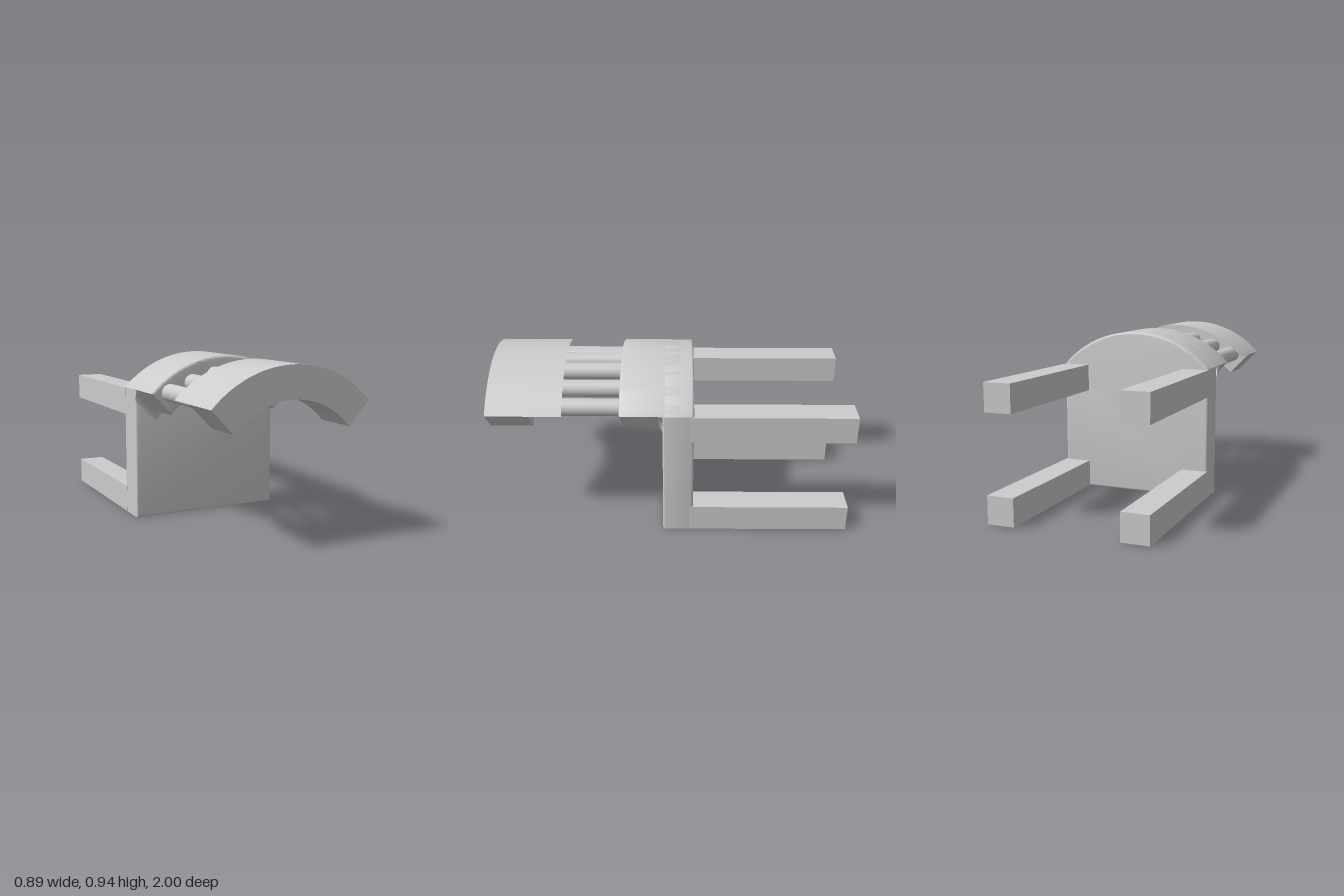
import * as THREE from 'three';
import { toCreasedNormals } from 'three/addons/utils/BufferGeometryUtils.js';
import { ParametricGeometry } from 'three/addons/geometries/ParametricGeometry.js';

const HALF_W = 0.445, EDGE_Y = 0.745;

// circle through a crown point and two symmetric end points
function crownArc(top, halfChord, endY) {
  const sag = top - endY;
  const r = (halfChord * halfChord + sag * sag) / (2 * sag);
  return { r, cy: top - r, a: Math.asin(halfChord / r) };
}
const OUTER = crownArc(0.94, HALF_W, EDGE_Y);
const INNER = crownArc(0.77, 0.325, 0.62);

function addOuterArc(shape) {
  shape.absarc(0, OUTER.cy, OUTER.r, Math.PI / 2 - OUTER.a, Math.PI / 2 + OUTER.a, false);
}

// curved band with slanted ends
function bandShape() {
  const s = new THREE.Shape();
  addOuterArc(s);
  s.absarc(0, INNER.cy, INNER.r, Math.PI / 2 + INNER.a, Math.PI / 2 - INNER.a, true);
  s.closePath();
  return s;
}

// upright panel with a curved top
function panelShape() {
  const s = new THREE.Shape();
  s.moveTo(-HALF_W, 0.003);
  s.lineTo(HALF_W, 0.003);
  addOuterArc(s);
  s.closePath();
  return s;
}

// extrude from z0 to z1, with rounded rims when bevel > 0
function slab(shape, z0, z1, bevel) {
  const g = new THREE.ExtrudeGeometry(shape, {
    depth: z1 - z0 - 2 * bevel, curveSegments: 24, bevelEnabled: bevel > 0,
    bevelThickness: bevel, bevelSize: bevel, bevelOffset: -bevel, bevelSegments: 3,
  });
  g.translate(0, 0, z0 + bevel);
  return g;
}

// underside outline of the band, pushed outward by d
function undersidePath(d) {
  const m = d * Math.SQRT2, pts = [[-HALF_W, EDGE_Y - m], [-0.325, 0.62 - m]];
  for (let i = 0; i <= 24; i++) {
    const t = INNER.a * (i / 12 - 1);
    pts.push([Math.sin(t) * (INNER.r - d), INNER.cy + Math.cos(t) * (INNER.r - d)]);
  }
  pts.push([0.325, 0.62 - m], [HALF_W, EDGE_Y - m]);
  return pts;
}

export function createModel() {
  const group = new THREE.Group();
  const grey = new THREE.MeshStandardMaterial({ color: 0xcccccc });
  const greyDouble = new THREE.MeshStandardMaterial({ color: 0xcccccc, side: THREE.DoubleSide });
  const add = (name, geometry, material = grey) => {
    const mesh = new THREE.Mesh(geometry, material);
    mesh.name = name;
    group.add(mesh);
    return mesh;
  };

  // panel and the curved hood growing out of its top
  add('panel', toCreasedNormals(slab(panelShape(), -0.12, 0.05, 0.012), 0.6));
  add('hood', toCreasedNormals(slab(bandShape(), -0.06, 0.285, 0.015), 0.6));

  // concave fillet between hood and panel
  const fillet = 0.045, steps = 28;
  add('hoodFillet', new ParametricGeometry((u, v, target) => {
    const t = v * Math.PI / 2;
    const path = undersidePath(fillet * (1 - Math.sin(t)));
    const p = path[Math.round(u * steps)];
    target.set(p[0], p[1], 0.05 + fillet * (1 - Math.cos(t)));
  }, steps, 6), greyDouble);

  // front band: solid nose with a thin open skin behind it
  add('frontBand', slab(bandShape(), 0.765, 1, 0));
  const skin = new THREE.CylinderGeometry(OUTER.r, OUTER.r, 0.175, 24, 1, true,
    Math.PI - OUTER.a, 2 * OUTER.a);
  skin.rotateX(Math.PI / 2);
  add('frontBandSkin', skin).position.set(0, OUTER.cy, 0.6775);

  // six rods joining hood and front band
  const rod = new THREE.CylinderGeometry(0.048, 0.048, 0.515, 24);
  rod.rotateX(Math.PI / 2);
  const rods = [[-0.335, 0.747], [-0.2, 0.795], [-0.065, 0.832], [0.07, 0.832], [0.21, 0.795], [0.34, 0.747]];
  for (const [x, y] of rods) add('rod', rod).position.set(x, y, 0.5075);

  // four rear beams
  const beam = new THREE.BoxGeometry(0.153, 0.153, 0.9);
  for (const side of [-1, 1]) {
    for (const y of [0.0815, 0.664]) add('rearBeam', beam).position.set(side * 0.37, y, -0.55);
  }
  return group;
}
